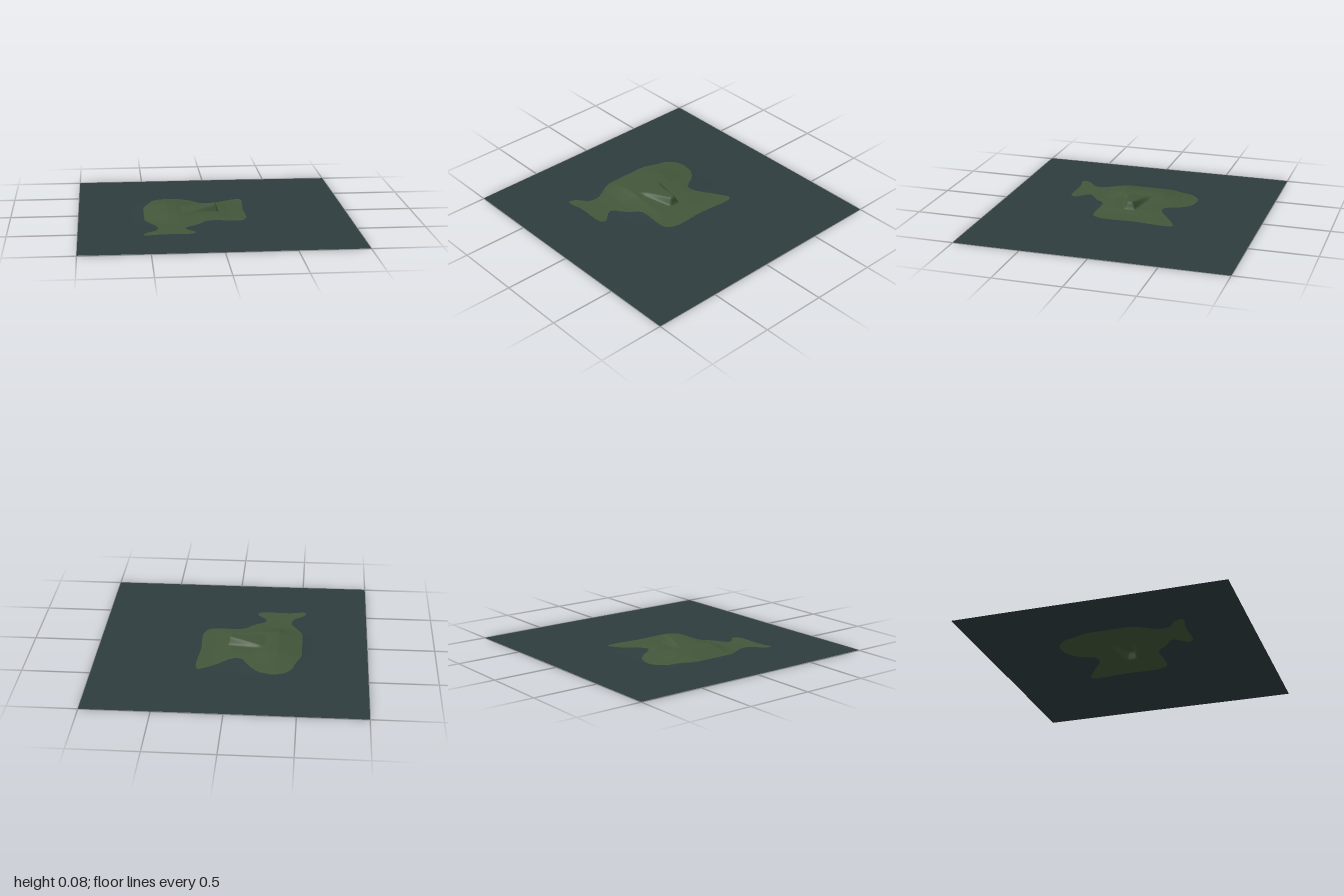
import * as THREE from 'three';

const seaMaterial = new THREE.MeshStandardMaterial({ color: 0x2f3d3f, side: THREE.DoubleSide });
seaMaterial.name = 'deep teal';
const landMaterial = new THREE.MeshStandardMaterial({ color: 0x43573a, side: THREE.DoubleSide });
landMaterial.name = 'moss green';

// Shoreline as x, z pairs
const SHORE = [
  [-0.30, -0.43], [-0.38, -0.42], [-0.45, -0.35], [-0.47, -0.28], [-0.51, -0.17], [-0.515, 0.0],
  [-0.51, 0.19], [-0.47, 0.27], [-0.43, 0.35], [-0.44, 0.43], [-0.52, 0.50], [-0.53, 0.555],
  [-0.40, 0.54], [-0.18, 0.535], [-0.16, 0.50], [-0.22, 0.43], [-0.23, 0.39], [-0.13, 0.31],
  [-0.06, 0.24], [0.18, 0.235], [0.23, 0.18], [0.235, -0.1], [0.25, -0.36], [0.23, -0.39],
  [0.12, -0.33], [-0.01, -0.24], [-0.07, -0.24], [-0.15, -0.35], [-0.22, -0.41],
];
const shoreline = new THREE.CatmullRomCurve3(
  SHORE.map(([x, z]) => new THREE.Vector3(x, 0, z)), true, 'centripetal').getPoints(220);

function isLand(x, z) {
  if (x < -0.56 || x > 0.28 || z < -0.46 || z > 0.58) return false;
  let inside = false;
  for (let i = 0, j = shoreline.length - 1; i < shoreline.length; j = i++) {
    const a = shoreline[i], b = shoreline[j];
    if ((a.z > z) !== (b.z > z) && x < ((b.x - a.x) * (z - a.z)) / (b.z - a.z) + a.x) inside = !inside;
  }
  return inside;
}

// Linear interpolation through [position, value] stops
function profile(stops, t) {
  if (t <= stops[0][0]) return stops[0][1];
  for (let i = 1; i < stops.length; i++) {
    const [a, va] = stops[i - 1], [b, vb] = stops[i];
    if (t <= b) return va + ((vb - va) * (t - a)) / (b - a);
  }
  return stops[stops.length - 1][1];
}

const DOME_X = [[-0.6, 0], [-0.52, 0.006], [-0.34, 0.042], [-0.27, 0.041], [-0.17, 0.026], [0.02, 0.018], [0.13, 0.005], [0.25, 0]];
const DOME_Z = [[-0.44, 0], [-0.3, 0.42], [-0.17, 0.95], [-0.1, 1], [0.15, 1], [0.2, 0.6], [0.27, 0.2], [0.38, 0]];

// Gentle swell, broad hill, then a wedge-shaped ridge ending in a cliff
function height(x, z) {
  const swell = 0.011 + 0.0015 * Math.sin(3.1 * x + 1.7 * z) * Math.cos(2.3 * z - x);
  const hill = swell + profile(DOME_X, x) * profile(DOME_Z, z);
  const along = (0.02 - x) / 0.24;
  const halfWidth = 0.014 + 0.06 * Math.max(0, along);
  const side = Math.abs(z - 0.008 * along);
  const mask = (1 - THREE.MathUtils.smoothstep(side, halfWidth, halfWidth + 0.035))
    * (1 - THREE.MathUtils.smoothstep(x, 0.02, 0.04))
    * THREE.MathUtils.smoothstep(x, -0.34, -0.2);
  const crest = 0.085 - 0.033 * along;
  return hill + Math.max(0, crest - hill) * mask;
}

// Grid lines: coarse near the border, fine around the island
function gridLines() {
  const lines = [];
  for (let i = 0; i < 10; i++) lines.push(-1 + i * 0.04);
  for (let i = 0; i <= 200; i++) lines.push(-0.6 + i * 0.006);
  for (let i = 1; i <= 10; i++) lines.push(0.6 + i * 0.04);
  return lines;
}

export function createModel() {
  const group = new THREE.Group();
  group.name = 'islandTerrain';

  const lines = gridLines(), n = lines.length;
  const positions = [], sea = [], land = [];
  for (const z of lines) for (const x of lines) positions.push(x, height(x, z), z);

  // Sort every triangle into water or land by its centre
  const addTriangle = (a, b, c) => {
    const mid = (k) => (positions[3 * a + k] + positions[3 * b + k] + positions[3 * c + k]) / 3;
    (isLand(mid(0), mid(2)) ? land : sea).push(a, b, c);
  };
  for (let r = 0; r < n - 1; r++) {
    for (let c = 0; c < n - 1; c++) {
      const a = r * n + c, b = a + 1, d = a + n, e = d + 1;
      addTriangle(a, d, b);
      addTriangle(b, d, e);
    }
  }

  // One continuous smooth surface, split into two coloured parts
  const surface = new THREE.BufferGeometry();
  surface.setAttribute('position', new THREE.Float32BufferAttribute(positions, 3));
  surface.setIndex([...sea, ...land]);
  surface.computeVertexNormals();

  const addPart = (name, index, material) => {
    const geometry = new THREE.BufferGeometry();
    geometry.setAttribute('position', surface.getAttribute('position'));
    geometry.setAttribute('normal', surface.getAttribute('normal'));
    geometry.setIndex(index);
    const mesh = new THREE.Mesh(geometry, material);
    mesh.name = name;
    group.add(mesh);
  };
  addPart('sea', sea, seaMaterial);
  addPart('island', land, landMaterial);
  return group;
}
